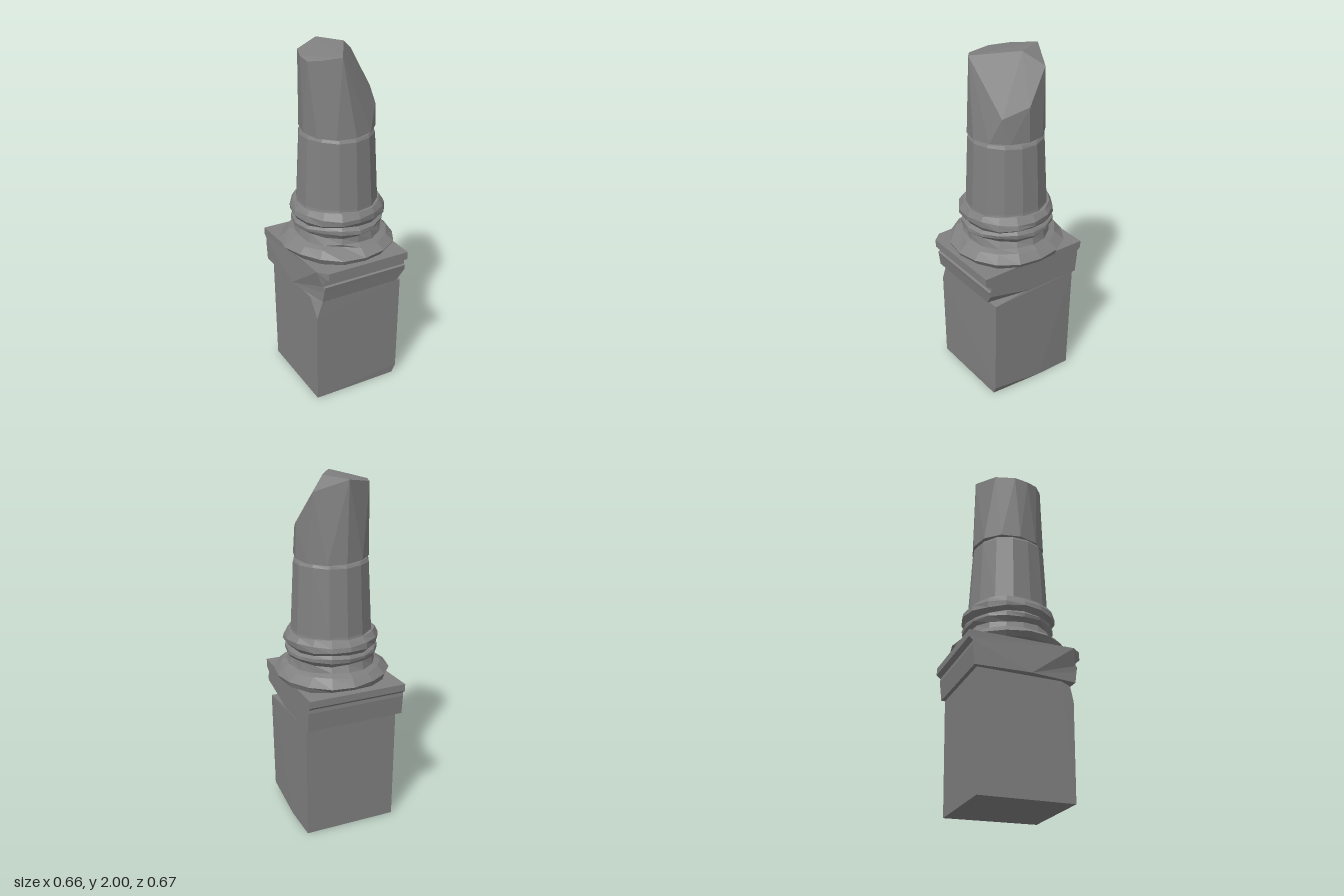
import * as THREE from 'three';
import { ConvexGeometry } from 'three/addons/geometries/ConvexGeometry.js';

export function createModel() {
  const model = new THREE.Group();
  const stone = new THREE.MeshStandardMaterial({ color: 0x808080, flatShading: true });
  const add = (name, geometry) => {
    const mesh = new THREE.Mesh(geometry, stone);
    mesh.name = name;
    model.add(mesh);
  };
  const hull = (points) => new ConvexGeometry(points.map((p) => new THREE.Vector3(...p)));

  // Turned stone with slightly weathered, uneven edges
  const turned = (profile, sides, wear) => {
    const g = new THREE.LatheGeometry(profile.map((p) => new THREE.Vector2(...p)), sides);
    const pos = g.attributes.position;
    for (let i = 0; i < pos.count; i++) {
      const x = pos.getX(i), y = pos.getY(i), z = pos.getZ(i);
      const a = Math.atan2(z, x);
      const r = 1 + wear * Math.sin(3 * a + y * 47) + wear * 0.6 * Math.sin(5 * a - y * 31);
      const lift = wear * 0.3 * Math.sin(4 * a + y * 60) * Math.min(1, Math.hypot(x, z) * 10);
      pos.setXYZ(i, x * r, y + lift, z * r);
    }
    g.computeVertexNormals();
    return g;
  };

  // Square pedestal with chipped corners
  add('pedestal', hull([
    [-0.275, 0, 0.265], [0.235, 0, 0.265], [0.258, 0.05, 0.268], [0.27, 0.01, -0.05],
    [0.265, 0, -0.268], [-0.275, 0, -0.268],
    [-0.275, 0.55, 0.27], [-0.24, 0.65, 0.268], [-0.278, 0.655, 0.2], [0.268, 0.65, 0.268],
    [0.27, 0.668, -0.278], [-0.278, 0.668, -0.278], [-0.2, 0.672, 0.1], [0.265, 0.672, 0.05],
  ]));

  // Moulded slab: one profile run from side to side, its front left corner broken off
  const profile = [
    [0.333, 0.86], [0.333, 0.815], [0.3, 0.793], [0.3, 0.77], [0.312, 0.765], [0.306, 0.735],
    [0.295, 0.67], [0.02, 0.668], [-0.3, 0.668], [-0.308, 0.74], [-0.312, 0.78],
    [-0.31, 0.8], [-0.333, 0.82], [-0.333, 0.86], [0.28, 0.86],
  ];
  const slab = new THREE.ExtrudeGeometry(
    new THREE.Shape(profile.map((p) => new THREE.Vector2(...p))),
    { depth: 0.575, bevelEnabled: false });
  slab.rotateY(-Math.PI / 2).translate(0.27, 0, 0);
  const sp = slab.attributes.position;
  for (let i = 0; i < sp.count; i++) {
    const z = sp.getZ(i);
    if (sp.getX(i) < 0 && z > 0.2) sp.setX(i, z > 0.285 ? -0.235 - (0.333 - z) * 0.5 : -0.282);
    // Chip under the front right corner
    if (sp.getX(i) > 0 && z > 0.29 && sp.getY(i) < 0.7) sp.setX(i, 0.225);
  }
  slab.computeVertexNormals();
  add('mouldedSlab', slab);

  // Round base mouldings, with one gash at the front
  const base = turned([
    [0, 0.862], [0.31, 0.865], [0.328, 0.895], [0.283, 0.935], [0.25, 0.95], [0.238, 0.99],
    [0.26, 1.015], [0.26, 1.035], [0.243, 1.05], [0.268, 1.075], [0.266, 1.105],
    [0.243, 1.138], [0.22, 1.14],
  ], 16, 0.016);
  const bp = base.attributes.position;
  for (let i = 0; i < bp.count; i++) {
    const x = bp.getX(i), y = bp.getY(i), z = bp.getZ(i);
    if (Math.abs(x + 0.107) < 0.02 && z > 0.24 && y > 0.92 && y < 0.96) bp.setXYZ(i, x * 0.87, y, z * 0.87);
  }
  base.computeVertexNormals();
  add('columnBase', base);

  // Tapering shaft, closed at the break
  add('shaft', turned([
    [0.238, 1.1], [0.23, 1.15], [0.211, 1.53], [0.202, 1.547], [0, 1.55],
  ], 14, 0.008));

  // Upper drum, broken off at a slant
  const drum = [
    [-0.07, 1.985, 0.187], [0.07, 2, -0.05], [0.16, 1.93, -0.13], [0.205, 1.75, 0],
    [0.155, 1.7, 0.14], [-0.01, 1.995, -0.213], [-0.16, 1.965, -0.14], [-0.2, 1.96, -0.03],
    [-0.2, 1.95, 0.05], [-0.155, 1.965, 0.125],
  ];
  for (let i = 0; i < 12; i++) {
    const a = (i / 12) * Math.PI * 2;
    drum.push([Math.cos(a) * 0.206, 1.554 + 0.006 * Math.sin(a * 2), Math.sin(a) * 0.215]);
  }
  add('brokenDrum', hull(drum));

  return model;
}
